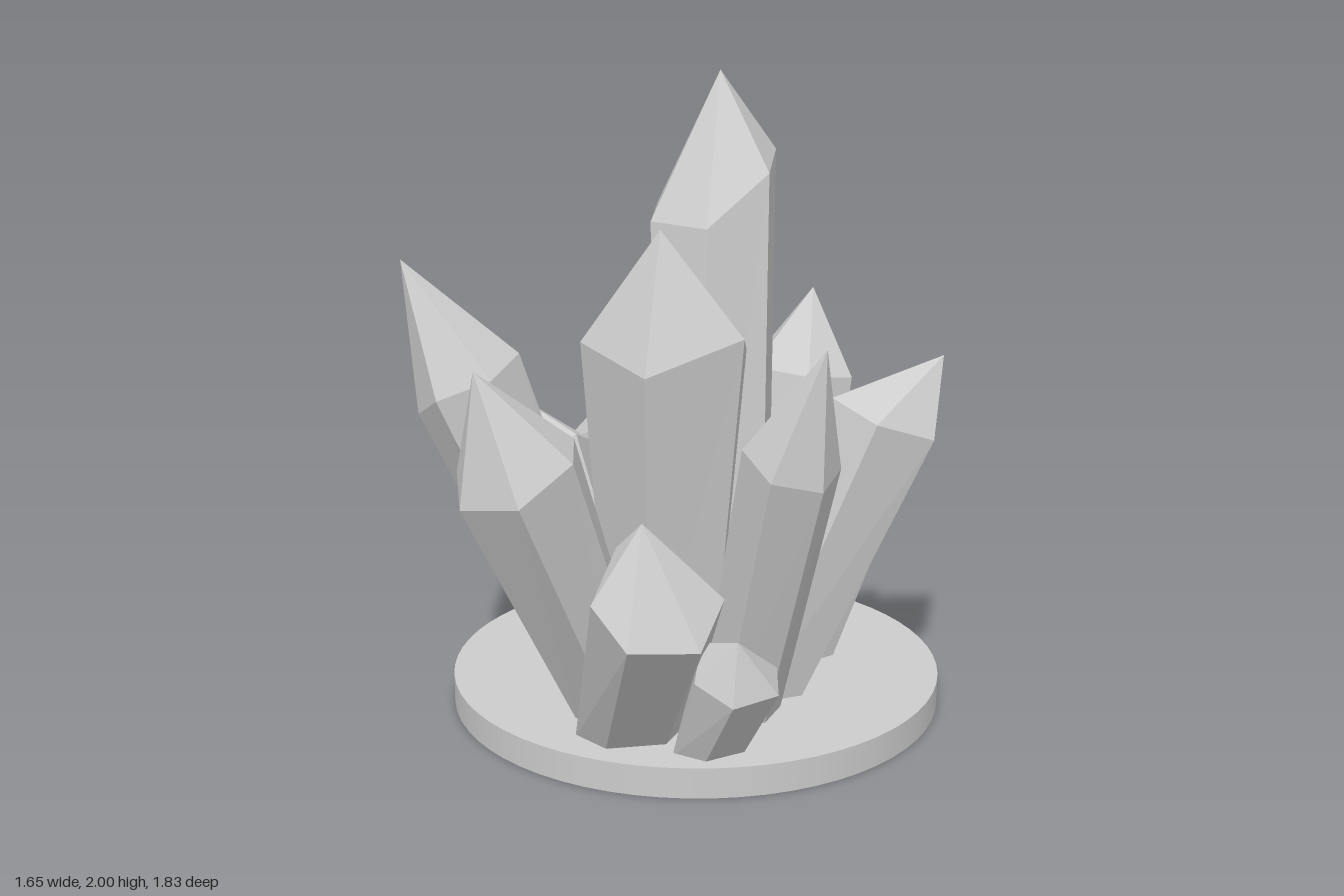
import * as THREE from 'three';

const material = new THREE.MeshStandardMaterial({ color: 0xcccccc, flatShading: true });
const FLOOR = 0.08; // crystal roots sink slightly into the plate
const HEXAGON = [0, 60, 120, 180, 240, 300];
const BLOCK = [-45, 35, 55, 125, 145, 225]; // square with two chamfered back corners

// small seeded generator for natural irregularity
function seeded(seed) {
  let s = seed * 7919 + 17;
  return () => ((s = (s * 16807) % 2147483647) / 2147483647) - 0.5;
}

// faceted crystal: root ring on the plate, wider shoulder ring, off-centre point;
// tilt raises the back of the shoulder ring
function crystal({ name, root, r0, shoulder, r1, tip, turn = 0, tilt = 0, corners = HEXAGON }, index) {
  const rand = seeded(index + 1);
  const base = new THREE.Vector3(root[0], FLOOR, root[1]);
  const mid = new THREE.Vector3(...shoulder);
  const apex = new THREE.Vector3(...tip);
  const axis = mid.clone().sub(base).normalize();
  const v = new THREE.Vector3(1, 0, 0).cross(axis).negate().normalize();
  const u = v.clone().cross(axis).normalize();

  const low = [], high = [];
  for (const degrees of corners) {
    const a = turn + THREE.MathUtils.degToRad(degrees + rand() * 10);
    const out = u.clone().multiplyScalar(Math.cos(a)).addScaledVector(v, Math.sin(a));
    const lift = rand() * r1 * 0.4 - tilt * out.z * r1;
    high.push(mid.clone().addScaledVector(out, r1).addScaledVector(axis, lift));
    const foot = base.clone().addScaledVector(out, r0);
    foot.y = FLOOR;
    low.push(foot);
  }

  const points = [];
  for (let i = 0; i < corners.length; i++) {
    const j = (i + 1) % corners.length;
    points.push(low[i], low[j], high[j], low[i], high[j], high[i]); // shaft
    points.push(high[i], high[j], apex); // point
    points.push(low[j], low[i], base); // underside
  }
  const geometry = new THREE.BufferGeometry().setFromPoints(points);
  geometry.computeVertexNormals();
  const mesh = new THREE.Mesh(geometry, material);
  mesh.name = name;
  return mesh;
}

const CRYSTALS = [
  { name: 'tallCrystal', root: [-0.13, -0.25], r0: 0.22, shoulder: [-0.28, 1.6, -0.37], r1: 0.235, tip: [-0.32, 2, -0.43], turn: 0.3, tilt: 0.5 },
  { name: 'backCrystal', root: [-0.13, -0.53], r0: 0.16, shoulder: [-0.23, 0.94, -0.72], r1: 0.2, tip: [-0.31, 1.22, -0.85], turn: 0.5 },
  { name: 'centreCrystal', root: [0.06, 0.1], r0: 0.17, shoulder: [0.07, 1.19, 0.1], r1: 0.26, tip: [0.06, 1.56, 0.1], corners: BLOCK },
  { name: 'frontRightCrystal', root: [-0.07, 0.25], r0: 0.13, shoulder: [-0.27, 1.08, 0.59], r1: 0.18, tip: [-0.41, 1.47, 0.74] },
  { name: 'frontCrystal', root: [0.16, 0.35], r0: 0.15, shoulder: [0.22, 0.97, 0.74], r1: 0.2, tip: [0.2, 1.25, 0.85], turn: 0.5 },
  { name: 'leftCrystal', root: [0.4, 0.05], r0: 0.13, shoulder: [0.69, 0.98, 0.1], r1: 0.15, tip: [0.82, 1.32, 0.09] },
  { name: 'backLeftCrystal', root: [0.27, -0.13], r0: 0.18, shoulder: [0.48, 0.97, -0.44], r1: 0.2, tip: [0.56, 1.16, -0.63], turn: 0.3 },
  { name: 'backSmallCrystal', root: [0.14, -0.41], r0: 0.13, shoulder: [0.23, 0.68, -0.59], r1: 0.145, tip: [0.22, 0.88, -0.66], turn: 0.5 },
  { name: 'frontLeftCrystal', root: [0.31, 0.4], r0: 0.17, shoulder: [0.66, 0.65, 0.55], r1: 0.19, tip: [0.61, 0.86, 0.57] },
  { name: 'leftSmallCrystal', root: [0.54, 0.28], r0: 0.12, shoulder: [0.7, 0.38, 0.3], r1: 0.135, tip: [0.75, 0.5, 0.34], turn: 0.4 },
  { name: 'backRightCrystal', root: [-0.41, -0.45], r0: 0.15, shoulder: [-0.64, 0.5, -0.5], r1: 0.19, tip: [-0.7, 0.68, -0.56], turn: 0.3 },
  { name: 'rightSmallCrystal', root: [-0.36, -0.12], r0: 0.13, shoulder: [-0.68, 0.66, -0.2], r1: 0.16, tip: [-0.74, 0.81, -0.23] },
  { name: 'rightCrystal', root: [-0.14, 0.15], r0: 0.16, shoulder: [-0.51, 0.71, 0.22], r1: 0.225, tip: [-0.67, 0.92, 0.2], turn: 0.3 },
];

export function createModel() {
  const model = new THREE.Group();
  model.name = 'crystalCluster';

  // round base plate
  const plate = new THREE.Mesh(
    new THREE.CylinderGeometry(0.797, 0.797, 0.095, 64),
    new THREE.MeshStandardMaterial({ color: 0xcccccc })
  );
  plate.name = 'basePlate';
  plate.position.set(0.015, 0.0475, -0.075);
  model.add(plate);

  // crystals fanning outwards
  CRYSTALS.forEach((c, i) => model.add(crystal(c, i)));
  return model;
}
